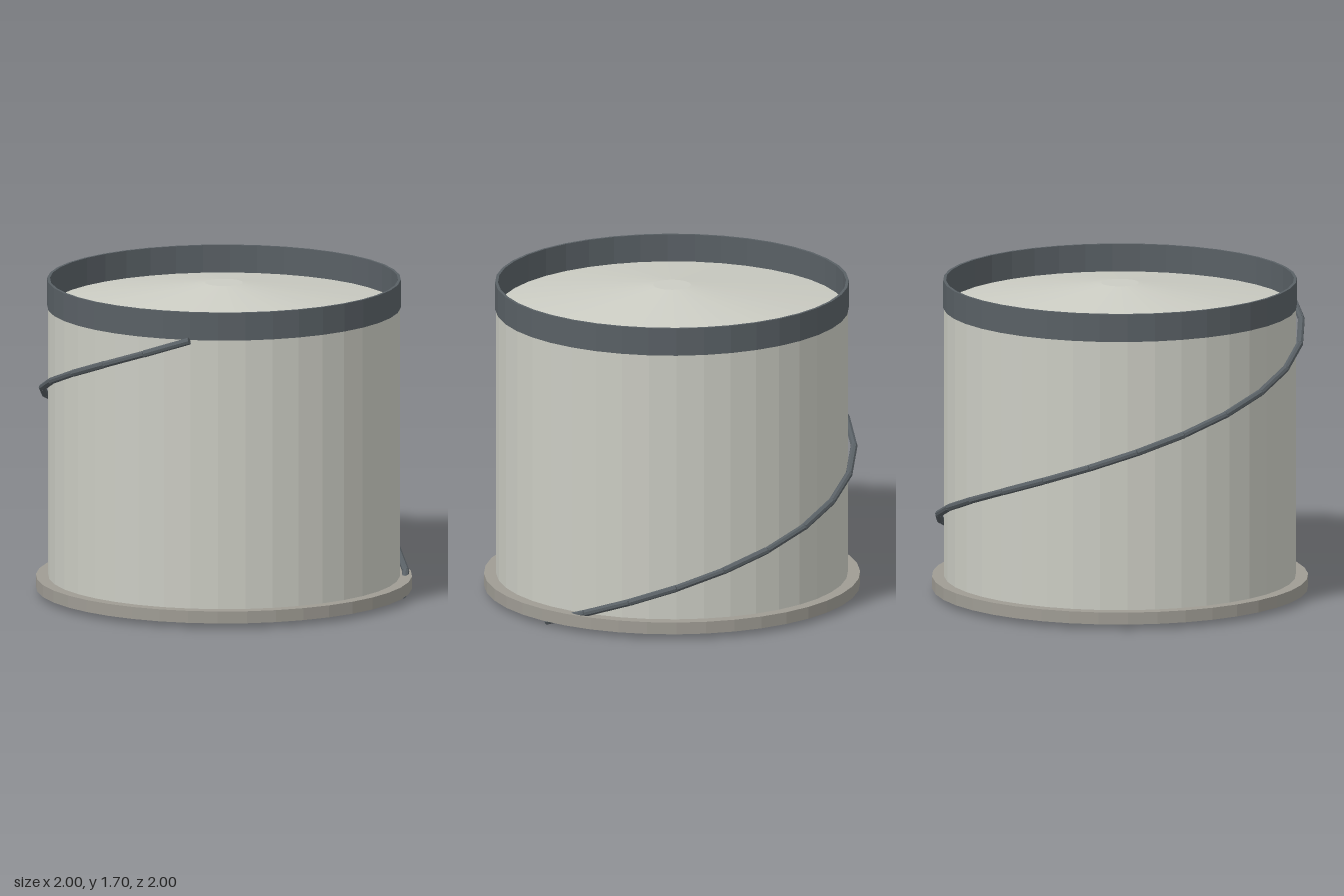
import * as THREE from 'three';

const SIDES = 40;

export function createModel() {
  const mat = (name, color) => new THREE.MeshStandardMaterial({ name, color, flatShading: true });
  const shellMat = mat('pale grey shell', 0xcbccc3);
  const baseMat = mat('concrete grey', 0x9f9c94);
  const steelMat = mat('dark steel', 0x596065);

  const model = new THREE.Group();
  model.name = 'storageTank';
  const add = (parent, name, geometry, material, y = 0) => {
    const mesh = new THREE.Mesh(geometry, material);
    mesh.name = name;
    mesh.position.y = y;
    parent.add(mesh);
    return mesh;
  };

  // Foundation slab and tank wall; the wall's floor shows through underneath
  add(model, 'basePlate', new THREE.CylinderGeometry(1, 1, 0.065, SIDES), baseMat, 0.0625);
  add(model, 'tankWall', new THREE.CylinderGeometry(0.935, 0.935, 1.521, SIDES), shellMat, 0.7895);

  // Shallow conical roof with a small flat crown
  add(model, 'roof', new THREE.CylinderGeometry(0.1, 0.934, 0.13, SIDES), shellMat, 1.615);

  // Hollow collar around the top edge
  const collarProfile = [[0.925, 1.55], [0.94, 1.55], [0.94, 1.7], [0.925, 1.7], [0.925, 1.55]]
    .map(([r, y]) => new THREE.Vector2(r, y));
  add(model, 'topCollar', new THREE.LatheGeometry(collarProfile, SIDES), steelMat);

  // Spiral rail: straight bars following three quarters of a turn down the wall
  const rail = new THREE.Group();
  rail.name = 'spiralRail';
  model.add(rail);
  const STEPS = 18;
  const railPoint = (i) => {
    const a = (i / STEPS) * Math.PI * 1.5;
    return new THREE.Vector3(-Math.sin(a) * 0.968, 1.55 - (1.53 * i) / STEPS, Math.cos(a) * 0.968);
  };
  const up = new THREE.Vector3(0, 1, 0);
  for (let i = 0; i < STEPS; i++) {
    const a = railPoint(i), b = railPoint(i + 1);
    const dir = b.clone().sub(a);
    const bar = add(rail, 'railBar', new THREE.CylinderGeometry(0.019, 0.019, dir.length(), 8), steelMat);
    bar.position.copy(a).add(b).multiplyScalar(0.5);
    bar.quaternion.setFromUnitVectors(up, dir.normalize());
  }

  return model;
}
